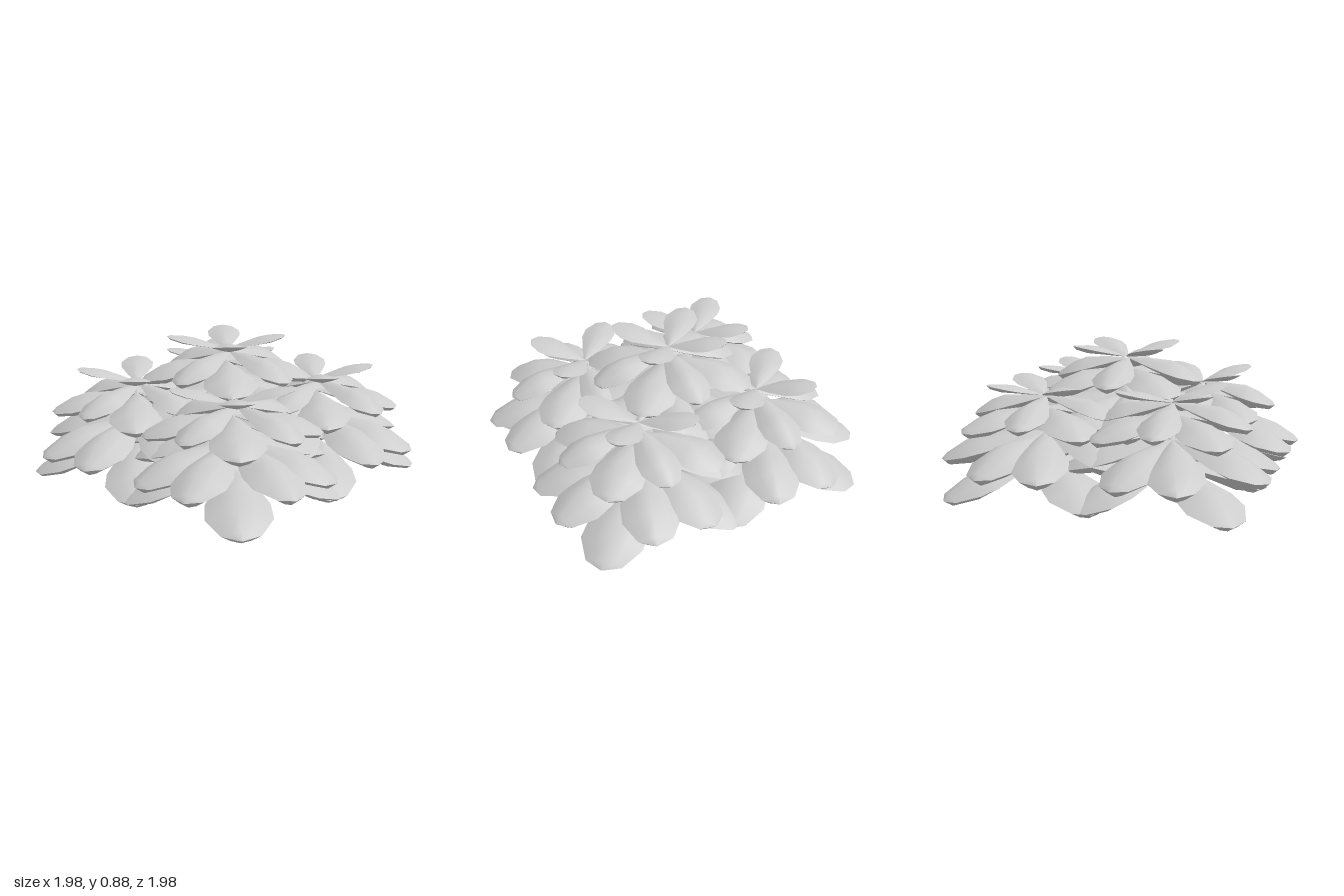
import * as THREE from 'three';

const material = new THREE.MeshStandardMaterial({ color: 0xcccccc, side: THREE.DoubleSide });

// Unit leaf along +z: an arched upper sheet and a keel that deepens towards the blunt tip.
// Stations: [distance along leaf, half width, upper height, keel depth]
const stations = [
  [0, 0.03, 0.02, 0.02], [0.25, 0.53, 0.55, 0.3], [0.55, 0.97, 0.95, 0.6],
  [0.74, 1, 0.8, 0.8], [0.94, 0.58, 0.3, 0.55], [1, 0.03, 0, 0],
];
const across = [-1, -0.5, 0, 0.5, 1];

function leafGeometry() {
  const pos = [], idx = [], n = across.length;
  for (const side of [1, -1]) {
    const start = pos.length / 3;
    stations.forEach(([t, w, up, down], i) => {
      for (const u of across) {
        pos.push(u * w, (1 - Math.abs(u) ** 1.5) * (side > 0 ? up : -down), t);
      }
      if (i === 0) return;
      for (let j = 0; j < n - 1; j++) {
        const a = start + (i - 1) * n + j, b = a + 1, c = a + n, d = c + 1;
        if (side > 0) idx.push(a, c, b, b, c, d);
        else idx.push(a, b, c, b, d, c);
      }
    });
  }
  const g = new THREE.BufferGeometry();
  g.setAttribute('position', new THREE.Float32BufferAttribute(pos, 3));
  g.setIndex(idx);
  g.computeVertexNormals();
  return g;
}

// Leaf whorls from the crown downwards; heights are relative to the crown, shift moves a whorl forward
const axial = [0, 90, 180, 270];
const diagonal = [45, 135, 225, 315];
const paired = axial.flatMap((a) => [a - 17, a + 17]);
const whorls = [
  { name: 'crownLeaf', angles: diagonal, length: 0.36, width: 0.1, thick: 0.03, base: 0, tip: 0.085, shift: 0 },
  { name: 'upperLeaf', angles: axial, length: 0.465, width: 0.12, thick: 0.07, base: -0.01, tip: -0.135, shift: 0.025 },
  { name: 'middleLeaf', angles: diagonal, length: 0.52, width: 0.155, thick: 0.075, base: -0.07, tip: -0.18, shift: 0 },
  { name: 'broadLeaf', angles: paired, length: 0.625, width: 0.165, thick: 0.09, base: -0.22, tip: -0.385, shift: 0 },
  { name: 'droopingLeaf', angles: diagonal, length: 0.64, width: 0.185, thick: 0.085, base: -0.36, tip: -0.565, shift: 0 },
];

function rosette(name, geometry, x, y, z) {
  const group = new THREE.Group();
  group.name = name;
  group.position.set(x, y, z);
  for (const w of whorls) {
    const rise = w.tip - w.base;
    for (const angle of w.angles) {
      const leaf = new THREE.Mesh(geometry, material);
      leaf.name = w.name;
      leaf.position.set(0, w.base, w.shift);
      leaf.rotation.order = 'YXZ';
      leaf.rotation.set(-Math.atan2(rise, w.length), THREE.MathUtils.degToRad(angle), 0);
      leaf.scale.set(w.width, w.thick, Math.hypot(w.length, rise));
      group.add(leaf);
    }
  }
  return group;
}

export function createModel() {
  const model = new THREE.Group();
  model.name = 'leafyShrub';
  const geometry = leafGeometry();
  // Four low rosettes around a taller central one
  for (const x of [-0.39, 0.39]) {
    for (const z of [-0.39, 0.39]) {
      model.add(rosette((z > 0 ? 'front' : 'back') + (x > 0 ? 'Left' : 'Right') + 'Rosette', geometry, x, 0.625, z));
    }
  }
  model.add(rosette('centralRosette', geometry, 0, 0.82, 0));
  return model;
}
